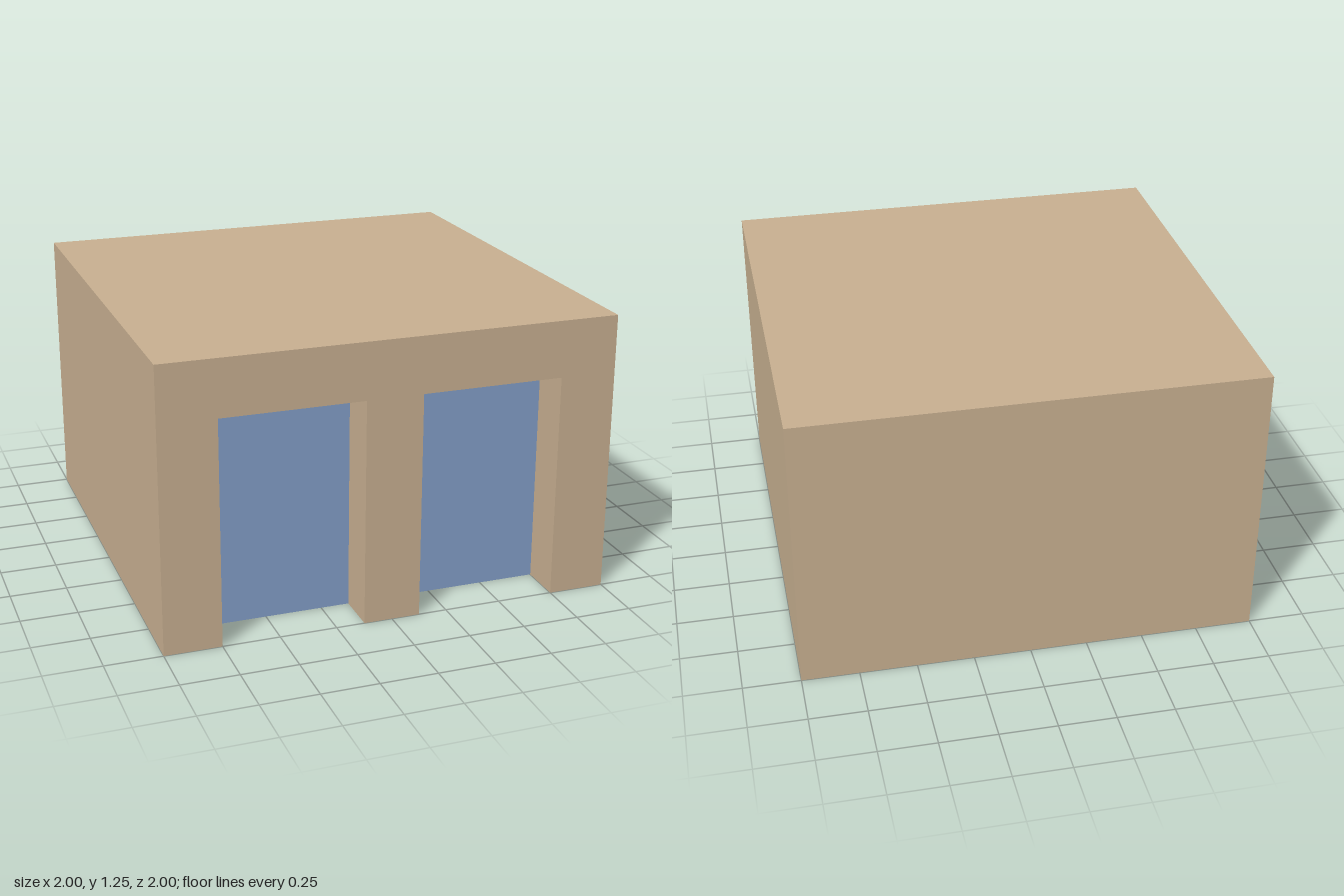
import * as THREE from 'three';

const W = 2, H = 1.25, D = 2;       // overall size
const RECESS = 0.2;                 // depth of the door openings
const DOOR_W = 0.625, DOOR_H = 1.0, DOOR_X = 0.4375;
const PLATE = 0.004;

export function createModel() {
  const wallMat = new THREE.MeshStandardMaterial({ color: 0xc8b091 });
  wallMat.name = 'tan wall';
  const doorMat = new THREE.MeshStandardMaterial({ color: 0x839fc8 });
  doorMat.name = 'blue door';

  const group = new THREE.Group();
  group.name = 'garage';
  const add = (name, geometry, material, x, y, z) => {
    const mesh = new THREE.Mesh(geometry, material);
    mesh.name = name;
    mesh.position.set(x, y, z);
    group.add(mesh);
  };

  // Main block behind the door openings
  add('mainBlock', new THREE.BoxGeometry(W, H, D - RECESS), wallMat, 0, H / 2, -RECESS / 2);

  // Front wall: outline with two openings cut up from the ground
  const outline = new THREE.Shape();
  outline.moveTo(-W / 2, 0);
  for (const x of [-DOOR_X, DOOR_X]) {
    outline.lineTo(x - DOOR_W / 2, 0);
    outline.lineTo(x - DOOR_W / 2, DOOR_H);
    outline.lineTo(x + DOOR_W / 2, DOOR_H);
    outline.lineTo(x + DOOR_W / 2, 0);
  }
  outline.lineTo(W / 2, 0);
  outline.lineTo(W / 2, H);
  outline.lineTo(-W / 2, H);
  outline.closePath();
  const frontWall = new THREE.ExtrudeGeometry(outline, { depth: RECESS, bevelEnabled: false });
  add('frontWall', frontWall, wallMat, 0, 0, D / 2 - RECESS);

  // Doors set at the back of the openings
  const door = new THREE.BoxGeometry(DOOR_W, DOOR_H, PLATE);
  add('rightDoor', door, doorMat, -DOOR_X, DOOR_H / 2, D / 2 - RECESS + PLATE / 2);
  add('leftDoor', door, doorMat, DOOR_X, DOOR_H / 2, D / 2 - RECESS + PLATE / 2);

  return group;
}
